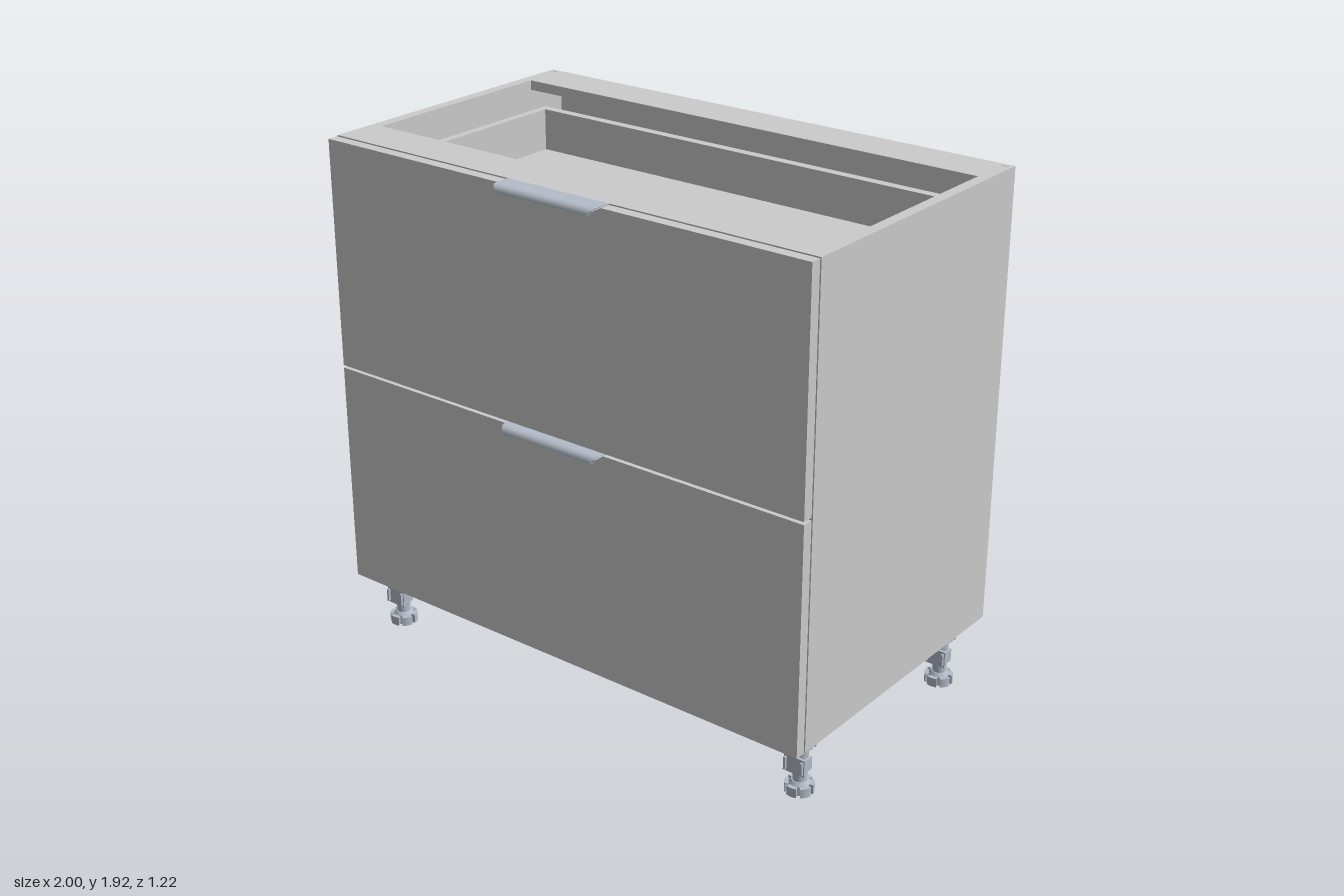
import * as THREE from 'three';

const board = new THREE.MeshStandardMaterial({ color: 0xcccccc });
const metal = new THREE.MeshStandardMaterial({ color: 0xb4bcc8, side: THREE.DoubleSide });

// Box given by its limits on each axis
function box(parent, name, x0, x1, y0, y1, z0, z1, mat = board) {
  const m = new THREE.Mesh(new THREE.BoxGeometry(x1 - x0, y1 - y0, z1 - z0), mat);
  m.position.set((x0 + x1) / 2, (y0 + y1) / 2, (z0 + z1) / 2);
  m.name = name;
  parent.add(m);
  return m;
}

function cyl(parent, name, rTop, rBottom, y0, y1, seg = 24) {
  const m = new THREE.Mesh(new THREE.CylinderGeometry(rTop, rBottom, y1 - y0, seg), metal);
  m.position.y = (y0 + y1) / 2;
  m.name = name;
  parent.add(m);
  return m;
}

// Disc with evenly spaced notches in its rim
function notchedDisc(parent, name, r, y0, y1, notches) {
  const s = new THREE.Shape();
  const half = 0.13;
  for (let i = 0; i < notches; i++) {
    const a = (i / notches) * Math.PI * 2;
    const b = ((i + 1) / notches) * Math.PI * 2;
    const ri = r * 0.72;
    if (i === 0) s.moveTo(ri * Math.cos(a - half), ri * Math.sin(a - half));
    s.lineTo(ri * Math.cos(a + half), ri * Math.sin(a + half));
    s.lineTo(r * Math.cos(a + half), r * Math.sin(a + half));
    s.absarc(0, 0, r, a + half, b - half, false);
    s.lineTo(ri * Math.cos(b - half), ri * Math.sin(b - half));
  }
  const g = new THREE.ExtrudeGeometry(s, { depth: y1 - y0, bevelEnabled: false, curveSegments: 8 });
  g.rotateX(-Math.PI / 2);
  const m = new THREE.Mesh(g, metal);
  m.position.y = y0;
  m.name = name;
  parent.add(m);
}

// Adjustable foot with a plinth clip facing forward
function makeLeg() {
  const leg = new THREE.Group();
  leg.name = 'leg';
  notchedDisc(leg, 'footPad', 0.051, 0, 0.034, 6);
  cyl(leg, 'footCollar', 0.028, 0.036, 0.034, 0.045);
  cyl(leg, 'threadedStem', 0.024, 0.024, 0.045, 0.08);
  cyl(leg, 'column', 0.03, 0.027, 0.07, 0.19);
  cyl(leg, 'columnRing', 0.034, 0.034, 0.165, 0.185);
  notchedDisc(leg, 'mountingFlange', 0.054, 0.185, 0.222, 4);
  cyl(leg, 'mountingPlate', 0.056, 0.056, 0.218, 0.231);
  box(leg, 'plinthClip', -0.041, 0.041, 0.082, 0.145, 0.026, 0.036, metal);
  for (const s of [-1, 1]) {
    box(leg, 'clipArm', s * 0.033 - 0.004, s * 0.033 + 0.004, 0.09, 0.138, -0.015, 0.046, metal);
    box(leg, 'flangeRib', s * 0.014 - 0.003, s * 0.014 + 0.003, 0.175, 0.22, -0.045, 0.045, metal);
  }
  return leg;
}

// Thin edge pull: flat plate ending in a lip that curls down
function makeHandle(y) {
  const w = 0.21;
  const s = new THREE.Shape();
  s.moveTo(0.525, 0);
  s.lineTo(0.585, 0);
  s.quadraticCurveTo(0.608, 0, 0.612, -0.022);
  s.lineTo(0.607, -0.022);
  s.quadraticCurveTo(0.603, -0.005, 0.585, -0.005);
  s.lineTo(0.525, -0.005);
  s.closePath();
  const g = new THREE.ExtrudeGeometry(s, { depth: 2 * w, bevelEnabled: false, curveSegments: 8 });
  g.translate(0, 0, -w);
  g.rotateY(-Math.PI / 2);
  // Round the front corners by narrowing the lip
  const p = g.attributes.position;
  for (let i = 0; i < p.count; i++) {
    const t = Math.max(0, (p.getZ(i) - 0.58) / 0.032);
    const d = 0.025 * (1 - Math.sqrt(Math.max(0, 1 - t * t)));
    p.setX(i, Math.sign(p.getX(i)) * (w - d));
  }
  g.computeVertexNormals();
  const m = new THREE.Mesh(g, metal);
  m.position.y = y;
  m.name = 'handle';
  return m;
}

// Open-topped drawer box
function makeDrawer(y0, y1) {
  const d = new THREE.Group();
  d.name = 'drawer';
  const zb = -0.48, zf = 0.522;
  box(d, 'drawerFloor', -0.905, 0.905, y0, y0 + 0.035, zb, zf);
  box(d, 'drawerBack', -0.905, 0.905, y0 + 0.035, y1, zb, zb + 0.035);
  box(d, 'drawerInnerFront', -0.905, 0.905, y0 + 0.035, y1, zf - 0.035, zf);
  for (const s of [-1, 1]) {
    box(d, 'drawerSide', s * 0.92 - 0.015, s * 0.92 + 0.015, y0, y1, zb, zf);
    box(d, 'runner', s * 0.947 - 0.012, s * 0.947 + 0.012, y0, y0 + 0.04, zb, zf - 0.01);
  }
  return d;
}

export function createModel() {
  const model = new THREE.Group();
  model.name = 'drawerCabinet';
  const top = 1.915, bottom = 0.23;

  // Carcass
  const carcass = new THREE.Group();
  carcass.name = 'carcass';
  model.add(carcass);
  for (const s of [-1, 1]) {
    box(carcass, 'sidePanel', s * 0.98 - 0.02, s * 0.98 + 0.02, bottom, top, -0.602, 0.521);
    box(carcass, 'cornerPlug', s * 0.97 - 0.011, s * 0.97 + 0.011, top - 0.01, top + 0.001, -0.592, -0.58);
  }
  box(carcass, 'bottomPanel', -0.96, 0.96, bottom, bottom + 0.036, -0.602, 0.521);
  box(carcass, 'frontRail', -0.96, 0.96, top - 0.036, top, 0.35, 0.521);
  box(carcass, 'backRail', -0.96, 0.96, top - 0.036, top, -0.602, -0.43);
  box(carcass, 'backPanel', -0.996, 0.996, bottom + 0.004, top - 0.004, -0.61, -0.602);

  // Drawers, fronts and pulls
  model.add(makeDrawer(1.62, 1.81), makeDrawer(0.35, 0.75));
  box(model, 'upperFront', -0.998, 0.998, 1.077, top - 0.003, 0.525, 0.565);
  box(model, 'lowerFront', -0.998, 0.998, bottom, 1.067, 0.525, 0.565);
  model.add(makeHandle(top + 0.002), makeHandle(1.074));

  // Legs
  for (const x of [-0.915, 0.915]) {
    for (const z of [-0.46, 0.42]) {
      const leg = makeLeg();
      leg.position.set(x, 0, z);
      model.add(leg);
    }
  }
  return model;
}
